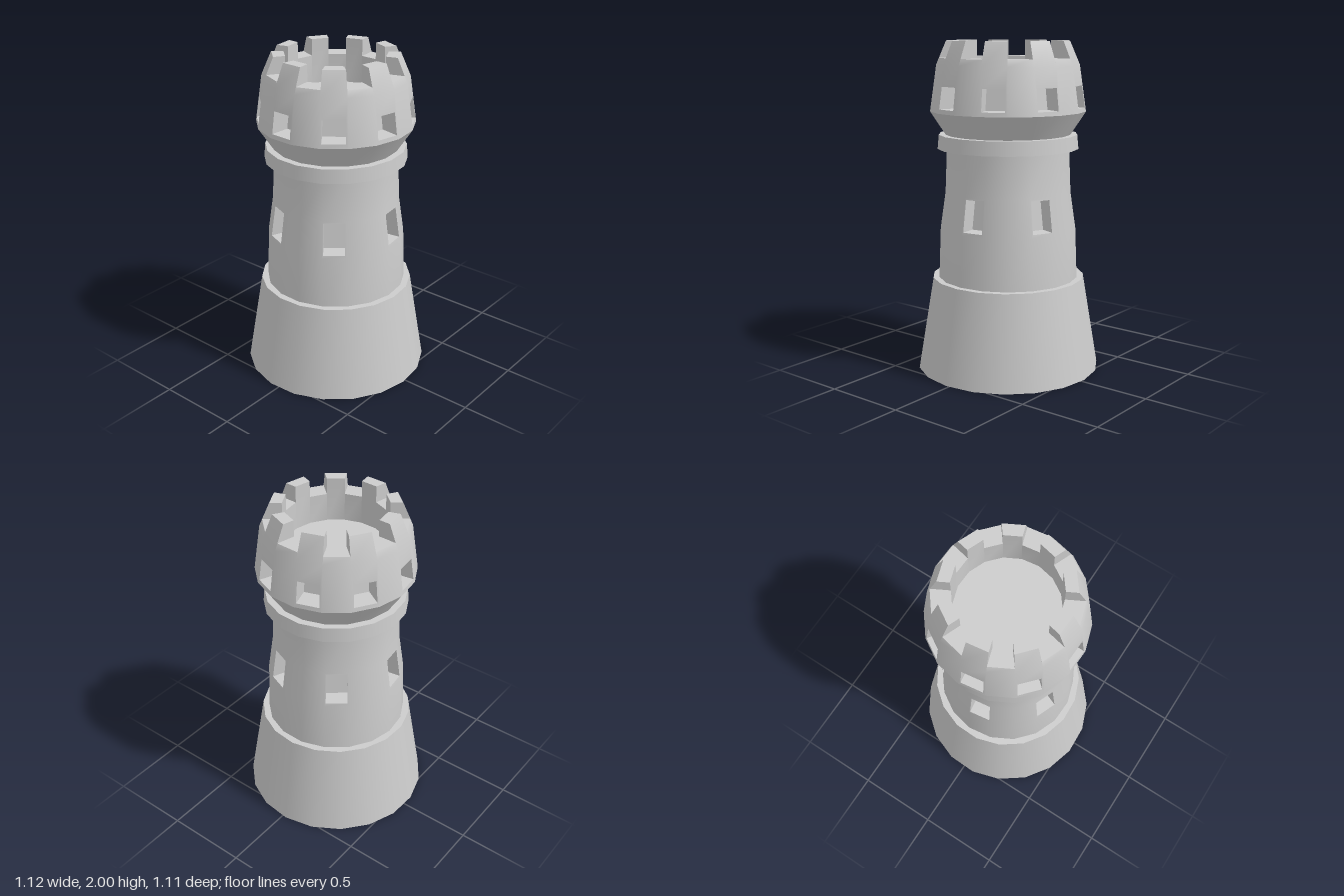
import * as THREE from 'three';
import { toCreasedNormals } from 'three/addons/utils/BufferGeometryUtils.js';

const SIDES = 18;
const STEP = (Math.PI * 2) / SIDES;
const START = -0.035;
const material = new THREE.MeshStandardMaterial({ color: 0xcccccc, side: THREE.DoubleSide });

// Point on the tower at side boundary k, radius r, height y
const at = (k, r, y) =>
  new THREE.Vector3(Math.sin(START + k * STEP) * r, y, Math.cos(START + k * STEP) * r);

// Collects quads and turns them into a mesh with sharp edges where they bend
function quadBuilder() {
  const pos = [];
  return {
    quad(a, b, c, d) {
      for (const p of [a, b, c, a, c, d]) pos.push(p.x, p.y, p.z);
    },
    mesh(name) {
      const g = new THREE.BufferGeometry();
      g.setAttribute('position', new THREE.Float32BufferAttribute(pos, 3));
      return named(name, toCreasedNormals(g, 0.62));
    },
  };
}

function named(name, geometry, y = 0) {
  const m = new THREE.Mesh(geometry, material);
  m.name = name;
  m.position.y = y;
  return m;
}

// One wall panel of side k between two [radius, height] rows
function panelCorners(k, lo, hi) {
  return [at(k, ...lo), at(k + 1, ...lo), at(k + 1, ...hi), at(k, ...hi)];
}

// Panel with a recessed window between heights y0 and y1, width as a share of the side
function windowPanel(b, k, lo, hi, y0, y1, width, depth) {
  const c = panelCorners(k, lo, hi);
  const onPanel = (u, y) => {
    const v = (y - lo[1]) / (hi[1] - lo[1]);
    return c[0].clone().lerp(c[1], u).lerp(c[3].clone().lerp(c[2], u), v);
  };
  const u0 = (1 - width) / 2;
  const u1 = 1 - u0;
  const p = [onPanel(u0, y0), onPanel(u1, y0), onPanel(u1, y1), onPanel(u0, y1)];
  const inward = at(k + 0.5, -depth, 0);
  const q = p.map((v) => v.clone().add(inward));
  for (let i = 0; i < 4; i++) {
    const j = (i + 1) % 4;
    b.quad(c[i], c[j], p[j], p[i]); // frame
    b.quad(p[i], p[j], q[j], q[i]); // jamb
  }
  b.quad(...q); // back of the recess
}

function buildShaft() {
  const b = quadBuilder();
  const rows = [[0.427, 0.57], [0.415, 0.88], [0.383, 1.1], [0.372, 1.37]];
  for (let k = 0; k < SIDES; k++) {
    for (let i = 0; i < rows.length - 1; i++) {
      if (i === 1 && k % 3 === 0) windowPanel(b, k, rows[1], rows[2], 0.9, 1.09, 0.9, 0.1);
      else b.quad(...panelCorners(k, rows[i], rows[i + 1]));
    }
  }
  return b.mesh('shaft');
}

function buildHead() {
  const b = quadBuilder();
  const neck = [0.375, 1.44], belly = [0.47, 1.585], shoulder = [0.43, 1.86];
  const gapOut = [0.413, 1.9], gapIn = [0.3, 1.9];
  const topOut = [0.37, 2], topIn = [0.3, 2], floorEdge = [0.3, 1.73];
  for (let k = 0; k < SIDES; k++) {
    const merlon = k % 2 === 1;
    b.quad(...panelCorners(k, neck, belly));
    if (merlon) windowPanel(b, k, belly, shoulder, 1.61, 1.74, 0.84, 0.12);
    else b.quad(...panelCorners(k, belly, shoulder));
    // Battlement: outer slope, top, inner wall
    const out = merlon ? topOut : gapOut;
    const inn = merlon ? topIn : gapIn;
    b.quad(...panelCorners(k, shoulder, out));
    b.quad(...panelCorners(k, out, inn));
    b.quad(...panelCorners(k, inn, floorEdge));
    // Sides of the raised blocks
    if (merlon) {
      const side = (n) => [gapOut, gapIn, topIn, topOut].map((r) => at(n, ...r));
      b.quad(...side(k + 1));
      b.quad(...side(k).reverse());
    }
  }
  return b.mesh('battlementHead');
}

export function createModel() {
  const tower = new THREE.Group();
  tower.name = 'tower';

  // Flared foot
  tower.add(named('base', new THREE.CylinderGeometry(0.465, 0.56, 0.57, 19, 1, false, START), 0.285));

  tower.add(buildShaft());

  // Collar under the head
  tower.add(named('collar', new THREE.CylinderGeometry(0.42, 0.428, 0.085, SIDES, 1, false, START), 1.4025));

  tower.add(buildHead());

  // Roof floor inside the battlements
  const floor = new THREE.CircleGeometry(0.3, SIDES, START - Math.PI / 2).rotateX(-Math.PI / 2);
  tower.add(named('roofFloor', floor, 1.73));

  return tower;
}
